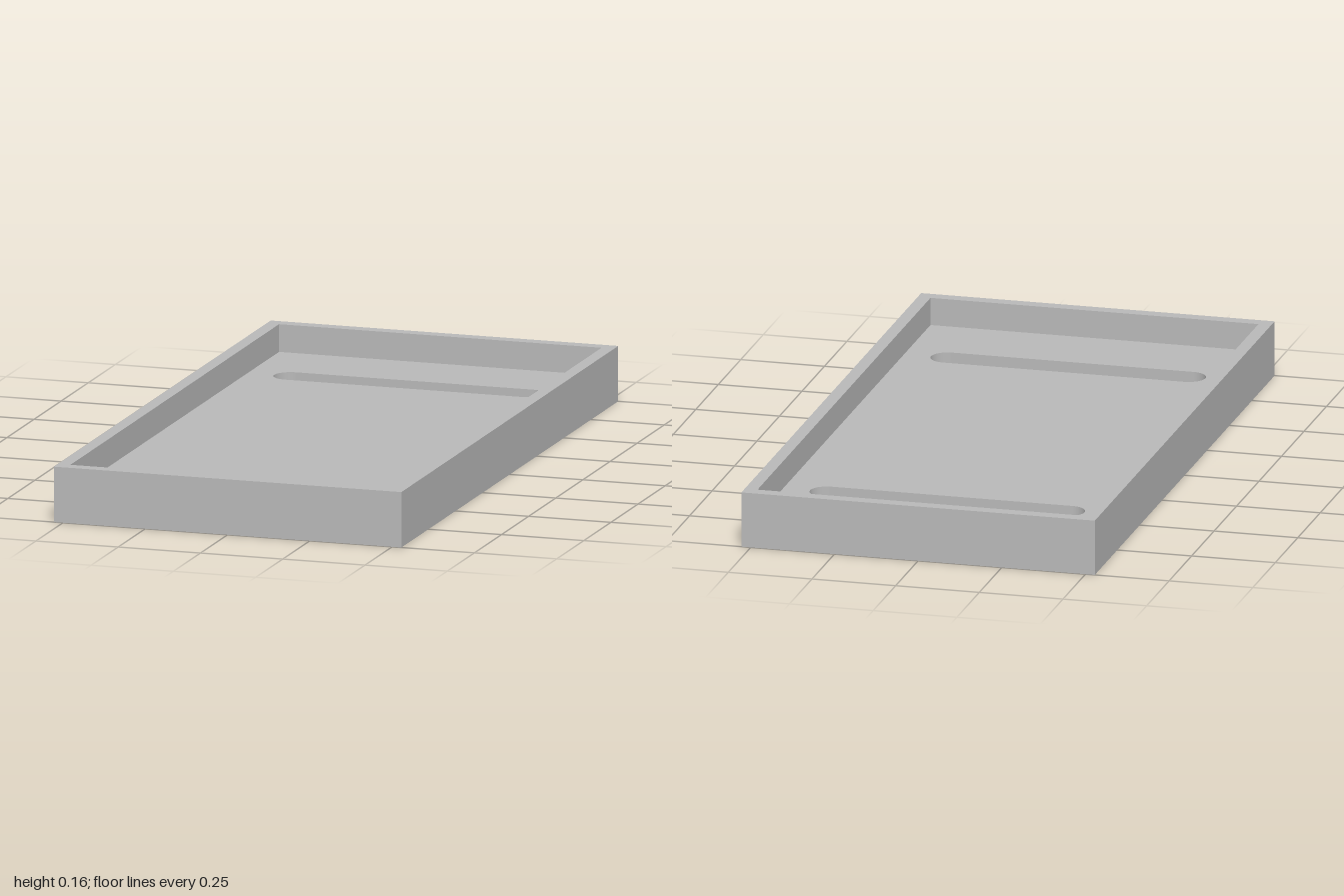
import * as THREE from 'three';

const HEIGHT = 0.164, FLOOR = 0.082;

// Closed rectangle centred on the origin
function rectangle(Type, halfX, halfZ) {
  return new Type([
    new THREE.Vector2(-halfX, -halfZ), new THREE.Vector2(halfX, -halfZ),
    new THREE.Vector2(halfX, halfZ), new THREE.Vector2(-halfX, halfZ),
  ]);
}

// Round-ended slot running along x
function slot(z, halfLength, radius) {
  const path = new THREE.Path();
  const c = halfLength - radius;
  path.absarc(c, -z, radius, -Math.PI / 2, Math.PI / 2, false);
  path.absarc(-c, -z, radius, Math.PI / 2, Math.PI * 1.5, false);
  path.closePath();
  return path;
}

// Extrude a plan outline upwards from y = 0
function plate(name, shape, depth, material) {
  const geometry = new THREE.ExtrudeGeometry(shape, { depth, bevelEnabled: false, curveSegments: 24 });
  geometry.rotateX(-Math.PI / 2);
  const mesh = new THREE.Mesh(geometry, material);
  mesh.name = name;
  return mesh;
}

export function createModel() {
  const group = new THREE.Group();
  group.name = 'slottedTray';
  const grey = new THREE.MeshStandardMaterial({ color: 0xb8b8b8 });
  grey.name = 'plain grey';

  // Surrounding wall
  const wall = rectangle(THREE.Shape, 0.528, 1);
  wall.holes.push(rectangle(THREE.Path, 0.49, 0.962));
  group.add(plate('wall', wall, HEIGHT, grey));

  // Floor with two through slots
  const floor = rectangle(THREE.Shape, 0.49, 0.962);
  floor.holes.push(slot(-0.675, 0.41, 0.05), slot(0.67, 0.41, 0.05));
  group.add(plate('floor', floor, FLOOR, grey));

  return group;
}
